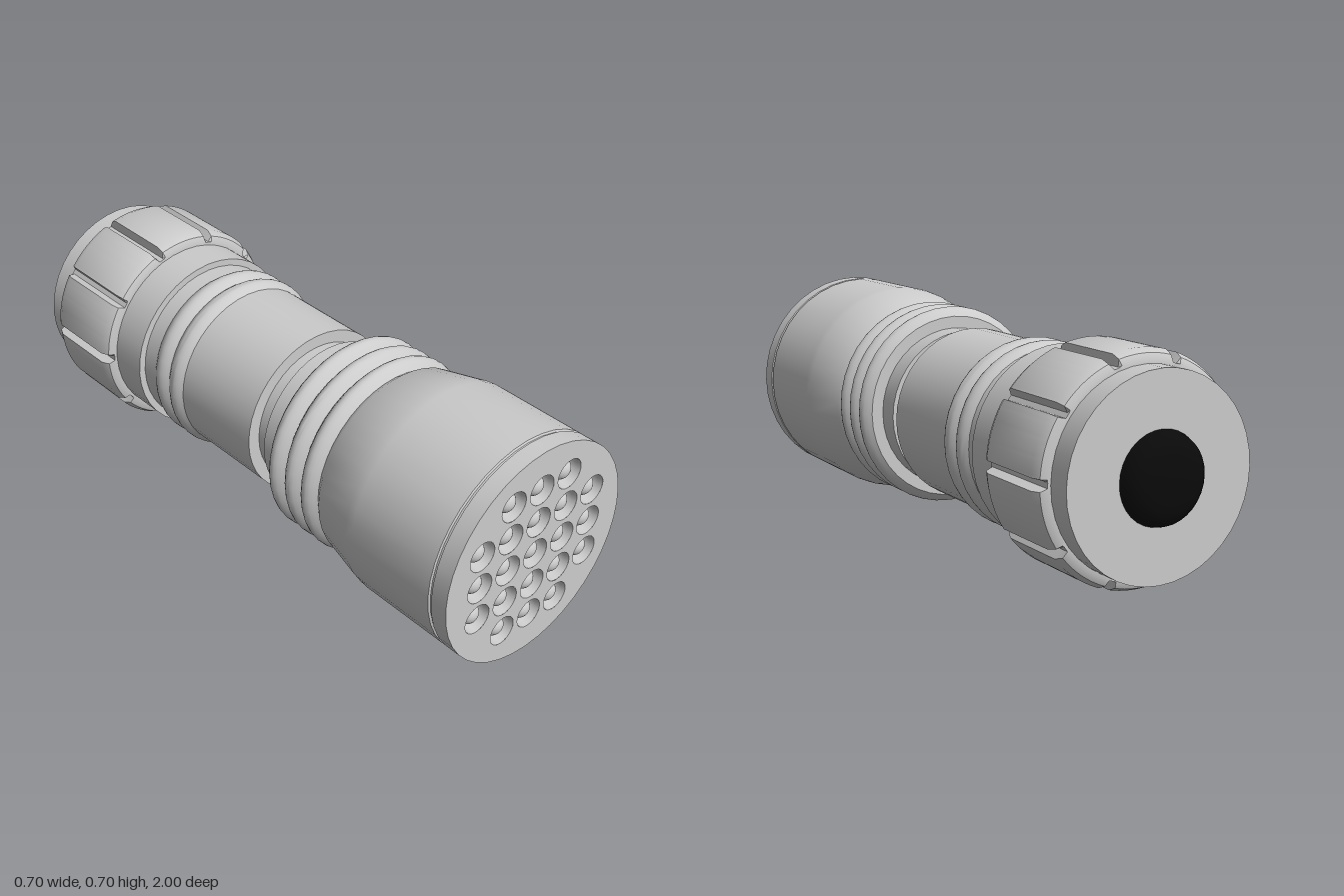
import * as THREE from 'three';
import { toCreasedNormals } from 'three/addons/utils/BufferGeometryUtils.js';

const AXIS_Y = 0.355;

export function createModel() {
  const model = new THREE.Group();
  const grey = new THREE.MeshStandardMaterial({ color: 0xcccccc });
  const black = new THREE.MeshStandardMaterial({ color: 0x0a0a0a });

  // Spun shape along z; profile is [radius, z] from back to front
  const spin = (profile, segments) => {
    const points = profile.map(([r, z]) => new THREE.Vector2(r, z));
    return new THREE.LatheGeometry(points, segments).rotateX(Math.PI / 2);
  };
  const add = (name, geometry, material = grey, x = 0, y = 0) => {
    const mesh = new THREE.Mesh(geometry, material);
    mesh.name = name;
    mesh.position.set(x, AXIS_Y + y, 0);
    model.add(mesh);
    return mesh;
  };
  const addSpun = (name, profile, material = grey, segments = 40) =>
    add(name, toCreasedNormals(spin(profile, segments), 0.6), material);

  // Row of rounded ridges between two z values
  const ridges = (z0, z1, count, valley, crest) => {
    const out = [];
    const steps = 8;
    for (let i = 0; i <= count * steps; i++) {
      const bulge = Math.sin(((i % steps) / steps) * Math.PI);
      out.push([valley + (crest - valley) * bulge, z0 + ((z1 - z0) * i) / (count * steps)]);
    }
    return out;
  };

  // Head with ridges, taper and grooved front rim
  addSpun('head', [
    [0.22, 0.214],
    ...ridges(0.214, 0.428, 3, 0.298, 0.326),
    [0.315, 0.45], [0.349, 0.6], [0.352, 0.63],
    [0.352, 0.933], [0.346, 0.936], [0.346, 0.942], [0.352, 0.945], [0.352, 1],
  ]);

  // Stepped neck between head and barrel
  addSpun('neck', [[0.235, 0.06], [0.235, 0.139], [0.26, 0.139], [0.26, 0.23]]);

  // Barrel with two ridges
  addSpun('barrel', [
    [0.275, -0.46],
    ...ridges(-0.388, -0.244, 2, 0.275, 0.293),
    [0.275, 0.085], [0.22, 0.085],
  ]);

  // Tail cap
  addSpun('tailCap', [[0, -0.948], [0.297, -0.948], [0.297, -0.447], [0.26, -0.447]]);

  // Grip ring with ten lengthwise grooves
  const grip = spin([
    [0.29, -0.872], [0.308, -0.872], [0.325, -0.864], [0.337, -0.838],
    [0.337, -0.605], [0.325, -0.58], [0.308, -0.573], [0.29, -0.573],
  ], 240);
  const pos = grip.attributes.position;
  for (let i = 0; i < pos.count; i++) {
    const x = pos.getX(i), y = pos.getY(i);
    const r = Math.hypot(x, y);
    const degrees = (Math.atan2(x, -y) * 180) / Math.PI + 360;
    if (Math.abs((degrees % 36) - 18) < 2 && r > 0.306) {
      pos.setXY(i, (x * 0.306) / r, (y * 0.306) / r);
    }
  }
  add('gripRing', toCreasedNormals(grip, 0.5));

  // Domed push button
  addSpun('button', [
    [0, -1], [0.06, -1], [0.09, -0.996], [0.112, -0.986], [0.128, -0.968], [0.135, -0.945],
  ], black, 32);

  // Front plate pierced for the lamps
  const plate = new THREE.Shape().absarc(0, 0, 0.352, 0, Math.PI * 2);
  const cup = spin([[0.047, 1], [0.044, 0.985], [0.034, 0.945], [0, 0.945]], 24);
  const bulb = spin([
    [0.034, 0.945], [0.034, 0.96],
    ...Array.from({ length: 8 }, (_, i) => {
      const a = ((i + 1) / 8) * Math.PI / 2;
      return [0.034 * Math.cos(a), 0.96 + 0.034 * Math.sin(a)];
    }),
  ], 24);
  for (let row = -2; row <= 2; row++) {
    for (let col = -2; col <= 2; col++) {
      if (Math.abs(row) === 2 && Math.abs(col) === 2) continue;
      const x = col * 0.111, y = row * 0.111;
      plate.holes.push(new THREE.Path().absarc(x, y, 0.047, 0, Math.PI * 2, true));
      add('lampCup', cup, grey, x, y);
      add('lampBulb', bulb, grey, x, y);
    }
  }
  add('frontPlate', new THREE.ShapeGeometry(plate, 20).translate(0, 0, 1));

  return model;
}
